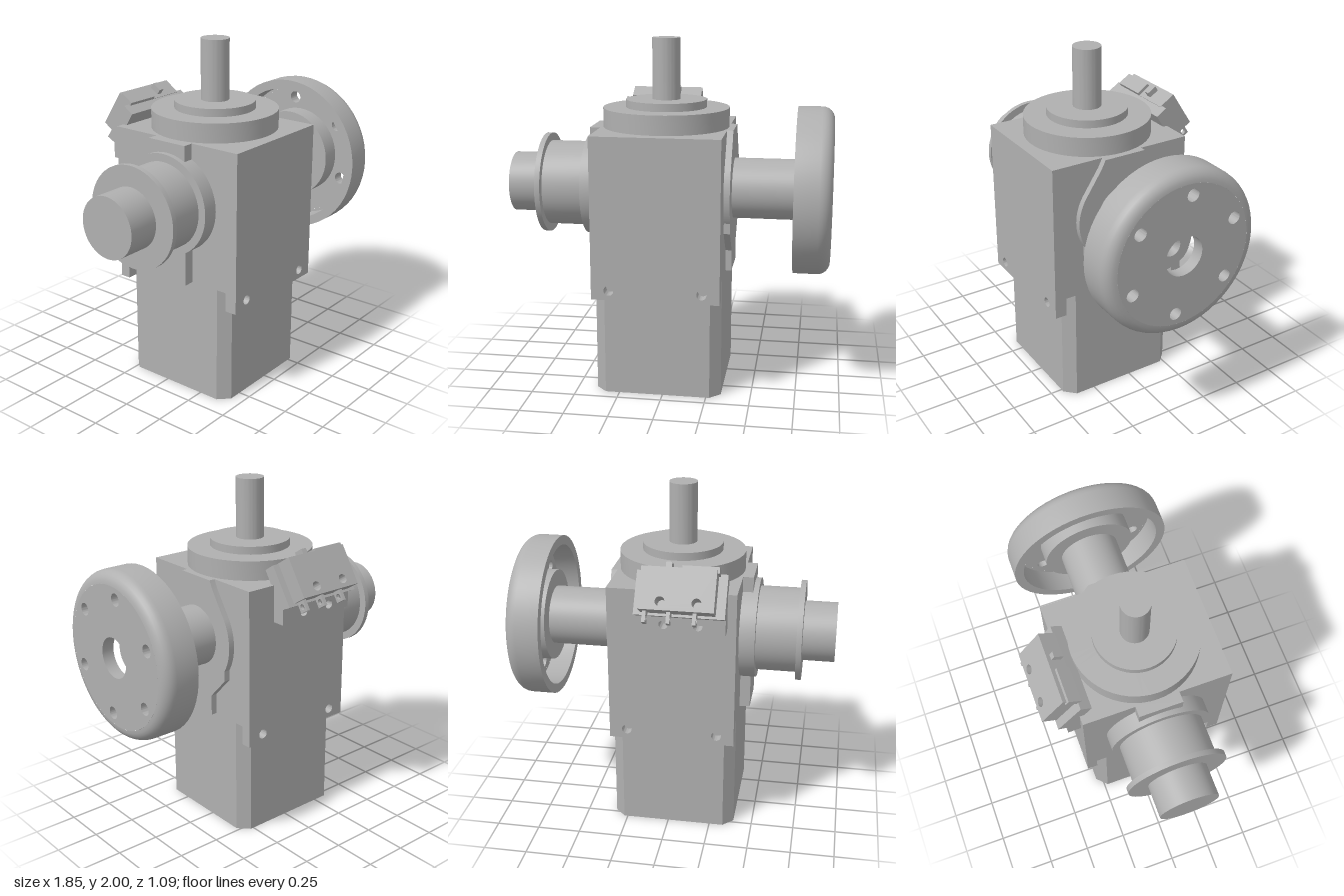
import * as THREE from 'three';
import { toCreasedNormals } from 'three/addons/utils/BufferGeometryUtils.js';

const CX = -0.03, CZ = 0.07, AXIS_Y = 1.15;

export function createModel() {
  const root = new THREE.Group();
  const metal = new THREE.MeshStandardMaterial({ color: 0xb0b0b0 });
  metal.name = 'grey metal';

  const add = (name, geo, parent = root) => {
    const m = new THREE.Mesh(toCreasedNormals(geo, 0.5), metal);
    m.name = name;
    parent.add(m);
    return m;
  };
  // box from its limits
  const box = (name, x0, x1, y0, y1, z0, z1, parent) =>
    add(name, new THREE.BoxGeometry(x1 - x0, y1 - y0, z1 - z0)
      .translate((x0 + x1) / 2, (y0 + y1) / 2, (z0 + z1) / 2), parent);
  const lathe = (pts) => new THREE.LatheGeometry(pts.map(([r, h]) => new THREE.Vector2(r, h)), 56);
  // turned part on the horizontal axis: points are [radius, x], rising x on the outside
  const turnedX = (name, pts) => add(name, lathe(pts).rotateZ(-Math.PI / 2).translate(0, AXIS_Y, CZ));
  const polygon = (pts) => new THREE.Shape(pts.map(([x, y]) => new THREE.Vector2(x, y)));
  const hole = (shape, x, y, r) => shape.holes.push(new THREE.Path().absarc(x, y, r, 0, Math.PI * 2, true));
  const extrude = (shape, depth) =>
    new THREE.ExtrudeGeometry(shape, { depth, bevelEnabled: false, curveSegments: 24 });
  const rect = (x0, x1, y0, y1) => polygon([[x0, y0], [x1, y0], [x1, y1], [x0, y1]]);

  // gearbox housing and chamfered motor
  box('housing', -0.39, 0.33, 0.69, 1.5, -0.35, 0.5);
  const h = 0.36, c = 0.3;
  const octagon = polygon([[-c, -h], [c, -h], [h, -c], [h, c], [c, h], [-c, h], [-h, c], [-h, -c]]);
  add('motor', extrude(octagon, 0.69).rotateX(-Math.PI / 2).translate(CX, 0, CZ));

  // skirts in front of and behind the motor, with bolt holes
  for (const [name, z, d] of [['frontSkirt', 0.43, 0.07], ['backSkirt', -0.35, 0.06]]) {
    const s = rect(-0.39, 0.33, 0.58, 0.69);
    for (const x of [-0.29, 0.23]) hole(s, x, 0.635, 0.028);
    add(name, extrude(s, d).translate(0, 0, z));
  }

  // top flange, boss and vertical shaft
  add('topFlangeAndShaft', lathe([
    [0.36, 1.5], [0.36, 1.61], [0.23, 1.61], [0.23, 1.655], [0.08, 1.655], [0.08, 2], [0, 2],
  ]).translate(CX, 0, CZ));

  // bearing pad on the left side: disc blending into a tab above and below
  const a = 0.55, px = 0.29 * Math.cos(a), py = 0.29 * Math.sin(a);
  const pad = new THREE.Shape();
  pad.moveTo(-0.125, -0.46);
  pad.lineTo(0.125, -0.46);
  pad.lineTo(0.125, -0.34);
  pad.lineTo(px, -py - 0.06);
  pad.lineTo(px, -py);
  pad.absarc(0, 0, 0.29, -a, a, false);
  pad.lineTo(0.15, 0.3);
  pad.lineTo(0.125, 0.35);
  pad.lineTo(-0.125, 0.35);
  pad.lineTo(-0.15, 0.3);
  pad.lineTo(-px, py);
  pad.absarc(0, 0, 0.29, Math.PI - a, Math.PI + a, false);
  pad.lineTo(-px, -py - 0.06);
  pad.lineTo(-0.125, -0.34);
  add('leftPad', extrude(pad, 0.04).rotateY(Math.PI / 2).translate(0.325, AXIS_Y, CZ));

  // right side: tab and stepped output hub
  box('rightTab', -0.45, -0.38, 0.69, 1.5, CZ - 0.125, CZ + 0.125);
  turnedX('rightHub', [
    [0, -0.925], [0.173, -0.925], [0.173, -0.74], [0.29, -0.74], [0.29, -0.71],
    [0.245, -0.71], [0.245, -0.48], [0.29, -0.48], [0.29, -0.385],
  ]);

  // left shaft with a countersunk end
  turnedX('leftShaft', [
    [0.173, 0.33], [0.173, 0.75], [0.115, 0.75], [0.115, 0.81], [0.055, 0.81], [0, 0.74],
  ]);

  // handwheel: rounded rim, inner hub and web with six holes
  const rim = [[0.405, 0.85], [0.42, 0.85], [0.42, 0.715], [0.475, 0.715]];
  for (let i = 0; i <= 6; i++) {
    const t = (i / 6) * Math.PI / 2;
    rim.push([0.405 + 0.07 * Math.cos(t), 0.85 + 0.07 * Math.sin(t)]);
  }
  turnedX('wheelRim', rim);
  turnedX('wheelHub', [[0.115, 0.74], [0.27, 0.74], [0.27, 0.85]]);
  const web = new THREE.Shape().absarc(0, 0, 0.405, 0, Math.PI * 2, false);
  hole(web, 0, 0, 0.115);
  for (let i = 0; i < 6; i++) {
    const t = 1.69 + i * Math.PI / 3;
    hole(web, -0.34 * Math.cos(Math.PI - t), 0.34 * Math.sin(t), 0.036);
  }
  // mirror the hole pattern so it turns the right way about the axis
  web.holes.slice(1).forEach((p, i) => {
    const t = Math.PI - (1.69 + i * Math.PI / 3);
    p.curves[0].aX = 0.34 * Math.cos(t);
    p.curves[0].aY = 0.34 * Math.sin(t);
  });
  add('wheelWeb', extrude(web, 0.07).rotateY(Math.PI / 2).translate(0.85, AXIS_Y, CZ));

  // switch bracket: sloping carrier (profile in -z, y) and drilled foot
  const carrier = polygon([[0.35, 1.38], [0.425, 1.38], [0.475, 1.405], [0.34, 1.61], [0.28, 1.57], [0.35, 1.46]]);
  add('bracketCarrier', extrude(carrier, 0.495).rotateY(Math.PI / 2).translate(-0.34, 0, 0));
  const foot = rect(-0.34, 0.155, 1.29, 1.385);
  for (const x of [-0.19, 0.0]) hole(foot, x, 1.335, 0.025);
  add('bracketFoot', extrude(foot, 0.075).translate(0, 0, -0.425));

  // limit switch, tilted on the bracket; its outer face is local -z
  const sw = new THREE.Group();
  sw.name = 'limitSwitch';
  sw.position.set(0, 1.537, -0.437);
  sw.rotation.x = 0.575;
  root.add(sw);
  const body = rect(-0.29, 0.115, -0.117, 0.117);
  for (const x of [-0.195, 0]) hole(body, x, -0.07, 0.026);
  add('switchBody', extrude(body, 0.106).translate(0, 0, -0.053), sw);
  box('switchStep', -0.3, -0.1, 0.1, 0.135, -0.03, 0.053, sw);
  box('switchButton', -0.045, -0.012, 0.11, 0.15, -0.03, 0.03, sw);
  for (const x of [-0.185, -0.045, 0.085]) {
    const pin = rect(-0.027, 0.027, -0.18, -0.11);
    hole(pin, 0, -0.15, 0.016);
    add('terminal', extrude(pin, 0.02).rotateY(Math.PI / 2).translate(x - 0.01, 0, 0.01), sw);
  }
  return root;
}
